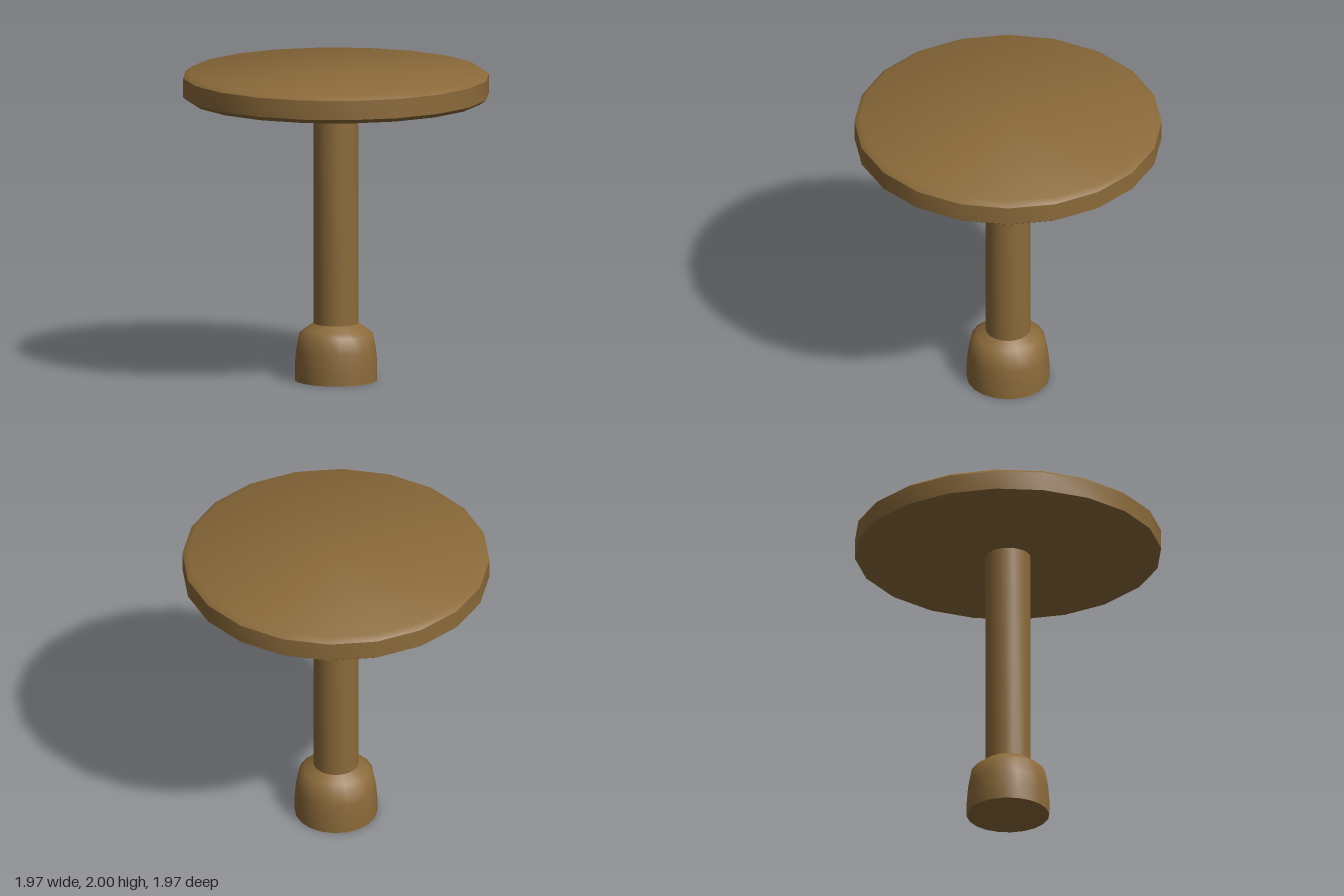
import * as THREE from 'three';
import { toCreasedNormals } from 'three/addons/utils/BufferGeometryUtils.js';

const SIDES = 20;

export function createModel() {
  const group = new THREE.Group();
  const wood = new THREE.MeshStandardMaterial({ color: 0x8b6a3a });

  // Turned part from a [radius, height] profile, listed bottom to top
  const turned = (name, profile) => {
    const points = profile.map(([r, y]) => new THREE.Vector2(r, y));
    const geometry = toCreasedNormals(new THREE.LatheGeometry(points, SIDES), 0.75);
    const mesh = new THREE.Mesh(geometry, wood);
    mesh.name = name;
    group.add(mesh);
  };

  // Round top with bevelled rims
  turned('tableTop', [
    [0, 1.82], [0.945, 1.82], [0.984, 1.848], [0.984, 1.972], [0.945, 2], [0, 2],
  ]);

  // Straight post between foot and top
  turned('column', [[0.145, 0.37], [0.145, 1.82]]);

  // Bulging foot, rounded in towards the post
  turned('foot', [
    [0, 0], [0.265, 0], [0.265, 0.1], [0.257, 0.2], [0.238, 0.3], [0.205, 0.33], [0.145, 0.37],
  ]);

  return group;
}
